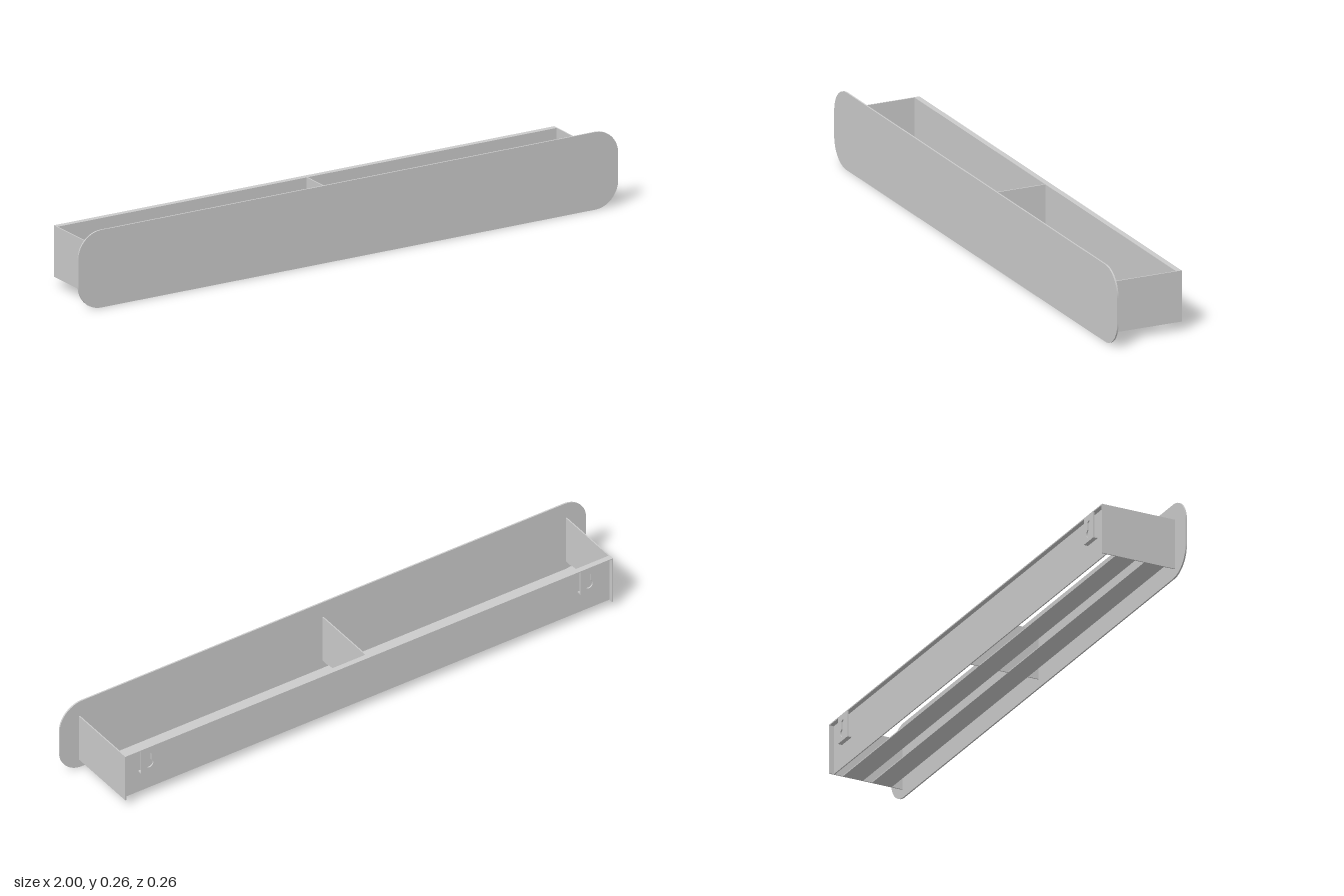
import * as THREE from 'three';

const T = 0.004; // sheet thickness
const material = new THREE.MeshStandardMaterial({ color: 0xcccccc });

// Axis-aligned sheet given by its limits on each axis
function sheet(name, [x0, x1], [y0, y1], [z0, z1]) {
  const mesh = new THREE.Mesh(new THREE.BoxGeometry(x1 - x0, y1 - y0, z1 - z0), material);
  mesh.position.set((x0 + x1) / 2, (y0 + y1) / 2, (z0 + z1) / 2);
  mesh.name = name;
  return mesh;
}

function extruded(name, shape, depth, z) {
  const geometry = new THREE.ExtrudeGeometry(shape, { depth, bevelEnabled: false, curveSegments: 12 });
  const mesh = new THREE.Mesh(geometry, material);
  mesh.position.z = z;
  mesh.name = name;
  return mesh;
}

// Rounded front panel
function frontPanel(z) {
  const h = 0.257, r = 0.085;
  const s = new THREE.Shape();
  s.absarc(1 - r, r, r, -Math.PI / 2, 0);
  s.absarc(1 - r, h - r, r, 0, Math.PI / 2);
  s.absarc(-1 + r, h - r, r, Math.PI / 2, Math.PI);
  s.absarc(-1 + r, r, r, Math.PI, Math.PI * 1.5);
  s.closePath();
  return extruded('frontPanel', s, 0.005, z);
}

// Hanging plate with a keyhole and a lip returning to the back panel
function hanger(x, top, back, panel) {
  const group = new THREE.Group();
  group.name = 'hanger';
  const w = 0.032, bottom = top - 0.088;
  const s = new THREE.Shape();
  s.moveTo(-w, bottom);
  s.lineTo(w, bottom);
  s.lineTo(w, top);
  s.lineTo(-w, top);
  s.closePath();
  const hole = new THREE.Path();
  const a = Math.asin(0.007 / 0.015);
  hole.absarc(0, top - 0.06, 0.015, Math.PI / 2 + a, Math.PI * 2.5 - a);
  hole.absarc(0, top - 0.024, 0.007, 0, Math.PI);
  hole.closePath();
  s.holes.push(hole);
  group.add(extruded('keyholePlate', s, T, back));
  group.add(sheet('hangerLip', [-w, w], [bottom, bottom + T], [back + T, panel]));
  group.position.x = x;
  return group;
}

export function createModel() {
  const model = new THREE.Group();
  model.name = 'wallShelf';
  const X = 0.927, Y0 = 0.03, Y1 = 0.2;
  const front = 0.127, back = -0.131, panel = -0.112;
  const inner = [-X + T, X - T];

  model.add(frontPanel(front));

  // End walls and central divider
  model.add(sheet('leftEnd', [X - T, X], [Y0, Y1], [back, front]));
  model.add(sheet('rightEnd', [-X, -X + T], [Y0, Y1], [back, front]));
  model.add(sheet('divider', [-T / 2, T / 2], [Y0, Y1], [panel, front]));

  // Recessed back with a top flange
  model.add(sheet('backPanel', inner, [Y0, Y1], [panel - T, panel]));
  model.add(sheet('topFlange', inner, [Y1 - T, Y1], [back, panel - T]));

  // Floor slats
  for (const z of [[-0.083, -0.012], [0.02, 0.09]]) {
    model.add(sheet('floorSlat', inner, [Y0, Y0 + T], z));
  }

  for (const side of [-1, 1]) model.add(hanger(side * 0.835, Y1 - T, back, panel - T));
  return model;
}
